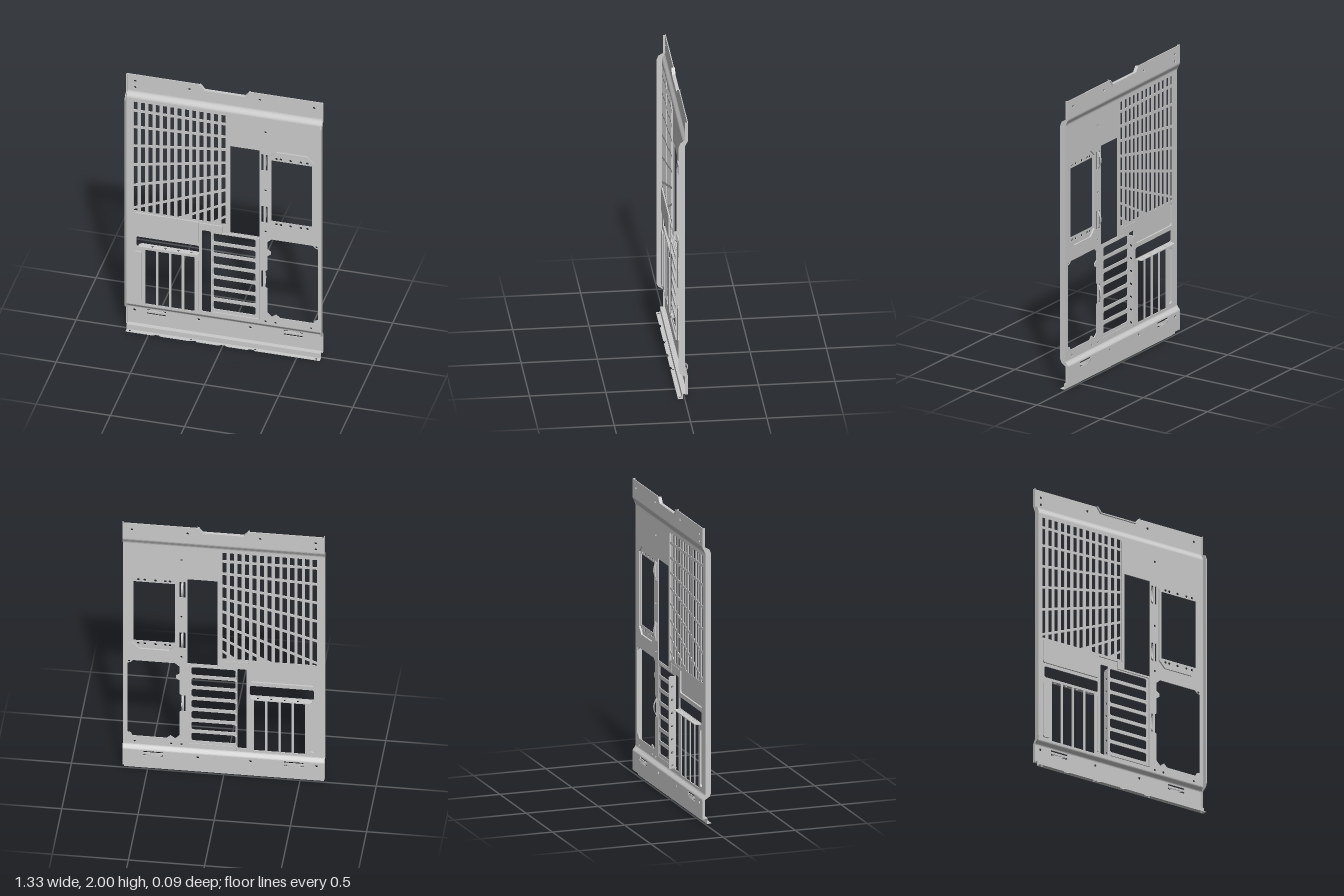
import * as THREE from 'three';

const T = 0.006, HW = 0.663, STRIP_Z = -0.021;

export function createModel() {
  const model = new THREE.Group();
  const mat = new THREE.MeshStandardMaterial({ color: 0xcccccc, side: THREE.DoubleSide });

  const add = (name, geo) => {
    const m = new THREE.Mesh(geo, mat);
    m.name = name;
    model.add(m);
    return m;
  };
  const poly = (pts) => pts.map((p) => new THREE.Vector2(p[0], p[1]));
  const rect = (x0, x1, y0, y1) => poly([[x0, y0], [x1, y0], [x1, y1], [x0, y1]]);
  // rectangle with corners cut in n steps (n = 1 is a chamfer)
  const cut = (x0, x1, y0, y1, r, n = 3) => {
    const pts = [];
    [[x1 - r, y0 + r, -1], [x1 - r, y1 - r, 0], [x0 + r, y1 - r, 1], [x0 + r, y0 + r, 2]].forEach(([cx, cy, q]) => {
      for (let i = 0; i <= n; i++) {
        const a = (q + i / n) * Math.PI / 2;
        pts.push([cx + r * Math.cos(a), cy + r * Math.sin(a)]);
      }
    });
    return poly(pts);
  };
  const disc = (x, y, r = 0.009) => poly(Array.from({ length: 12 }, (_, i) =>
    [x + r * Math.cos(i * Math.PI / 6), y + r * Math.sin(i * Math.PI / 6)]));
  const sheet = (name, outline, holes, z, depth = T) => {
    const s = new THREE.Shape(outline);
    s.holes = holes.map((h) => new THREE.Path(h));
    return add(name, new THREE.ExtrudeGeometry(s, { depth, bevelEnabled: false }).translate(0, 0, z));
  };
  const box = (name, x0, x1, y0, y1, z0, z1) => add(name,
    new THREE.BoxGeometry(x1 - x0, y1 - y0, z1 - z0).translate((x0 + x1) / 2, (y0 + y1) / 2, (z0 + z1) / 2));
  // profile given as [z, y], swept along x from x0 to x1
  const sweepX = (name, pts, x0, x1) => add(name,
    new THREE.ExtrudeGeometry(new THREE.Shape(poly(pts)), { depth: x1 - x0, bevelEnabled: false })
      .rotateY(-Math.PI / 2).translate(x1, 0, 0));

  const holes = [];

  // fan-shaped ventilation grid: columns crossed by diverging bars
  const left = [1.82, 1.73, 1.60, 1.45, 1.30, 1.14, 0.96, 0.77, 0.56, 0.35];
  const right = [1.82, 1.73, 1.63, 1.53, 1.425, 1.32, 1.21, 1.10, 1.00, 0.90];
  const gx0 = -0.61, gx1 = 0.008, floor = 0.94, cols = 13, pitch = (gx1 - gx0 + 0.022) / cols;
  const barY = (k, x) => THREE.MathUtils.lerp(left[k], right[k], (x - gx0) / (gx1 - gx0));
  for (let c = 0; c < cols; c++) {
    const a = gx0 + c * pitch, b = a + pitch - 0.022;
    const addCell = (topA, topB, lowA, lowB) => {
      const la = Math.max(lowA, floor), lb = Math.max(lowB, floor);
      if (topA - la > 0.008 && topB - lb > 0.008) holes.push(poly([[a, la], [b, lb], [b, topB], [a, topA]]));
    };
    for (let k = 0; k + 1 < left.length; k++) {
      const top = k === 0 ? 0.02 : 0.009;
      addCell(barY(k, a) - top, barY(k, b) - top, barY(k + 1, a) + 0.009, barY(k + 1, b) + 0.009);
    }
  }

  // cable cut-out, slot window, narrow window
  holes.push(rect(0.04, 0.238, 0.88, 1.565));
  holes.push(cut(-0.592, -0.17, 0.66, 0.738, 0.012));
  holes.push(cut(-0.15, -0.09, 0.225, 0.866, 0.008));
  // expansion slots
  for (let i = 0; i < 4; i++) {
    const x = -0.533 + i * 0.0875;
    holes.push(rect(x, x + 0.072, 0.215, 0.642));
  }
  // drive bay slots
  for (let i = 0; i < 7; i++) {
    const y = 0.822 - i * 0.0887;
    holes.push(cut(-0.077, 0.212, y - 0.032, y + 0.032, 0.014));
  }
  // large lower opening with notched corners and side tabs
  holes.push(poly([[0.32, 0.262], [0.35, 0.285], [0.375, 0.262], [0.6, 0.262], [0.61, 0.285], [0.633, 0.29],
    [0.633, 0.85], [0.61, 0.86], [0.595, 0.875], [0.32, 0.875], [0.292, 0.85], [0.292, 0.79], [0.315, 0.775],
    [0.315, 0.755], [0.292, 0.74], [0.292, 0.63], [0.278, 0.62], [0.278, 0.49], [0.292, 0.48], [0.292, 0.29]]));
  [[0.278, 1.715], [0.278, 1.255], [0.278, 0.93], [0.278, 0.22], [0.346, 0.22], [0.585, 0.22],
    [0.622, 0.866], [0.622, 0.273], [0.346, 0.272], [0.306, 0.765]].slice(0, 7)
    .forEach(([x, y]) => holes.push(disc(x, y, 0.008)));

  // cable tie bridges: curved strap between two slits
  const strap = (x, y, z, vertical) => {
    const pts = [], n = 10, L = 0.062, D = 0.022;
    for (let i = 0; i <= n; i++) pts.push([-L + 2 * L * i / n, -D * Math.sin(Math.PI * i / n)]);
    for (let i = n; i >= 0; i--) pts.push([pts[i][0], pts[i][1] + 0.004]);
    const g = new THREE.ExtrudeGeometry(new THREE.Shape(poly(pts)), { depth: 0.014, bevelEnabled: false });
    g.translate(0, 0, -0.007).rotateX(Math.PI / 2);
    // extrusion now runs along y and the bulge along z
    if (vertical) g.rotateZ(Math.PI / 2);
    add('cableTieBridge', g.translate(x, y, z));
  };
  for (const y of [1.475, 1.065]) {
    holes.push(rect(0.25, 0.265, y - 0.064, y + 0.064), rect(0.279, 0.292, y - 0.064, y + 0.064));
    strap(0.272, y, 0.002, true);
  }
  holes.push(rect(0.25, 0.262, 0.49, 0.62));
  strap(0.27, 0.555, 0.002, true);

  // raised areas: rim wall plus a thin face standing forward of the sheet
  const raised = (name, x0, x1, y0, y1, r, n, faceHoles) => {
    const w = 0.007, outer = cut(x0, x1, y0, y1, r, n), inner = cut(x0 + w, x1 - w, y0 + w, y1 - w, r, n);
    holes.push(inner);
    sheet(name + 'Rim', outer, [inner], 0, 0.016);
    sheet(name + 'Face', inner, faceHoles, 0.012, 0.004);
  };
  const screws = [0.355, 0.385, 0.45, 0.52, 0.563].flatMap((x) => [disc(x, 1.525), disc(x, 1.008)]);
  raised('powerSupplyFrame', 0.308, 0.607, 0.965, 1.575, 0.045, 1, [rect(0.322, 0.595, 1.03, 1.508), ...screws]);
  raised('connectorPanel', -0.606, -0.17, 0.76, 0.93, 0.012, 2, []);
  raised('sideRib', -0.606, -0.555, 0.225, 0.625, 0.012, 2, []);

  sheet('mainSheet', rect(-HW, HW, 0.2, 1.825), holes, 0);

  // stiffening ridges around the inner regions
  const ridge = [[0.016, 1.785], [0.016, 0.935], [-0.16, 0.92], [-0.015, 0.92], [-0.015, 0.867],
    [0.233, 0.867], [0.233, 0.232], [-0.07, 0.232]];
  [[0, 1], [2, 3], [3, 4], [4, 5], [5, 6], [6, 7]].forEach(([i, j]) => {
    const [a, b] = [ridge[i], ridge[j]], h = 0.004;
    box('stiffeningRidge', Math.min(a[0], b[0]) - h, Math.max(a[0], b[0]) + h,
      Math.min(a[1], b[1]) - h, Math.max(a[1], b[1]) + h, -0.003, 0.014);
  });
  box('slotEdgeRidge', -0.18, -0.171, 0.23, 0.625, 0, 0.014);

  // offset bends joining the main sheet to the upper and lower strips
  const bend = (name, yMain, yStrip) => {
    const pts = [], n = 8;
    for (let i = 0; i <= n; i++) {
      const t = i / n;
      pts.push([STRIP_Z * THREE.MathUtils.smoothstep(t, 0, 1), yMain + (yStrip - yMain) * t]);
    }
    for (let i = n; i >= 0; i--) pts.push([pts[i][0] + T, pts[i][1]]);
    sweepX(name, pts, -HW, HW);
  };
  bend('upperBend', 1.825, 1.875);
  bend('lowerBend', 0.2, 0.165);

  // upper strip with the grip notch and its forward lip
  const notch = [[-0.172, 2], [-0.14, 1.957], [0.14, 1.957], [0.172, 2]];
  sheet('upperStrip', poly([[-HW, 1.875], [HW, 1.875], [HW, 2], ...[...notch].reverse(), [-HW, 2]]),
    [[-0.606, 1.95], [-0.606, 1.9], [-0.24, 1.95], [0.235, 1.95], [0.6, 1.95]].map(([x, y]) => disc(x, y)), STRIP_Z);
  sheet('gripLip', poly([...notch, [0.163, 2], [0.135, 1.965], [-0.135, 1.965], [-0.163, 2]]), [], STRIP_Z - 0.005, 0.023);

  // lower strip with two cable tie bridges
  const lowHoles = [-0.61, -0.177, 0.17].map((x) => disc(x, 0.14));
  for (const x of [-0.462, 0.46]) {
    lowHoles.push(rect(x - 0.064, x + 0.064, 0.122, 0.133), rect(x - 0.064, x + 0.064, 0.148, 0.159));
    strap(x, 0.14, STRIP_Z + 0.001, false);
  }
  sheet('lowerStrip', rect(-HW, HW, 0.035, 0.165), lowHoles, STRIP_Z);

  // stepped foot and bottom flange with notches and screw holes
  sweepX('footStep', [[STRIP_Z, 0.035], [0.013, 0.035], [0.013, 0], [0.018, 0], [0.018, 0.04], [STRIP_Z, 0.04]], -0.655, 0.655);
  const edge = [[-0.655, 0.015], [0.655, 0.015], [0.655, 0.045]];
  for (const x of [0.19, 0, -0.2, -0.445])
    edge.push([x + 0.026, 0.045], [x + 0.012, 0.034], [x - 0.012, 0.034], [x - 0.026, 0.045]);
  edge.push([-0.655, 0.045]);
  sheet('bottomFlange', poly(edge), [-0.63, -0.218, 0.215, 0.628].map((x) => disc(x, 0.03, 0.008)), 0, 0.004)
    .geometry.rotateX(Math.PI / 2).translate(0, 0.004, 0);

  // folded side edges, deeper along the main sheet
  const side = [[STRIP_Z, 2], [STRIP_Z, 1.875], [0, 1.825], [0, 0.2], [STRIP_Z, 0.165], [STRIP_Z, 0.035],
    [-0.002, 0.035], [-0.002, 0.165], [0.03, 0.185], [0.041, 0.21], [0.041, 1.82], [0.03, 1.85], [-0.002, 1.87], [-0.002, 2]];
  sweepX('leftSideFlange', side, HW - 0.005, HW);
  sweepX('rightSideFlange', side, -HW, -HW + 0.005);

  // rearward flanges: drive bay screw rail and expansion slot shelf
  const rail = sheet('driveBayRail', cut(-0.043, 0.004, 0.232, 0.855, 0.01),
    Array.from({ length: 7 }, (_, i) => disc(-0.02, 0.253 + i * 0.0887)), 0, T);
  rail.geometry.rotateY(-Math.PI / 2).translate(-0.082, 0, 0);
  const shelf = sheet('slotShelf', poly([[-0.585, 0.004], [-0.175, 0.004], [-0.18, -0.036], [-0.19, -0.042], [-0.565, -0.042], [-0.58, -0.03]]),
    [0, 1, 2, 3].map((i) => disc(-0.49 + i * 0.0875, -0.02)), 0, T);
  shelf.geometry.rotateX(Math.PI / 2).translate(0, 0.658, 0);

  return model;
}
